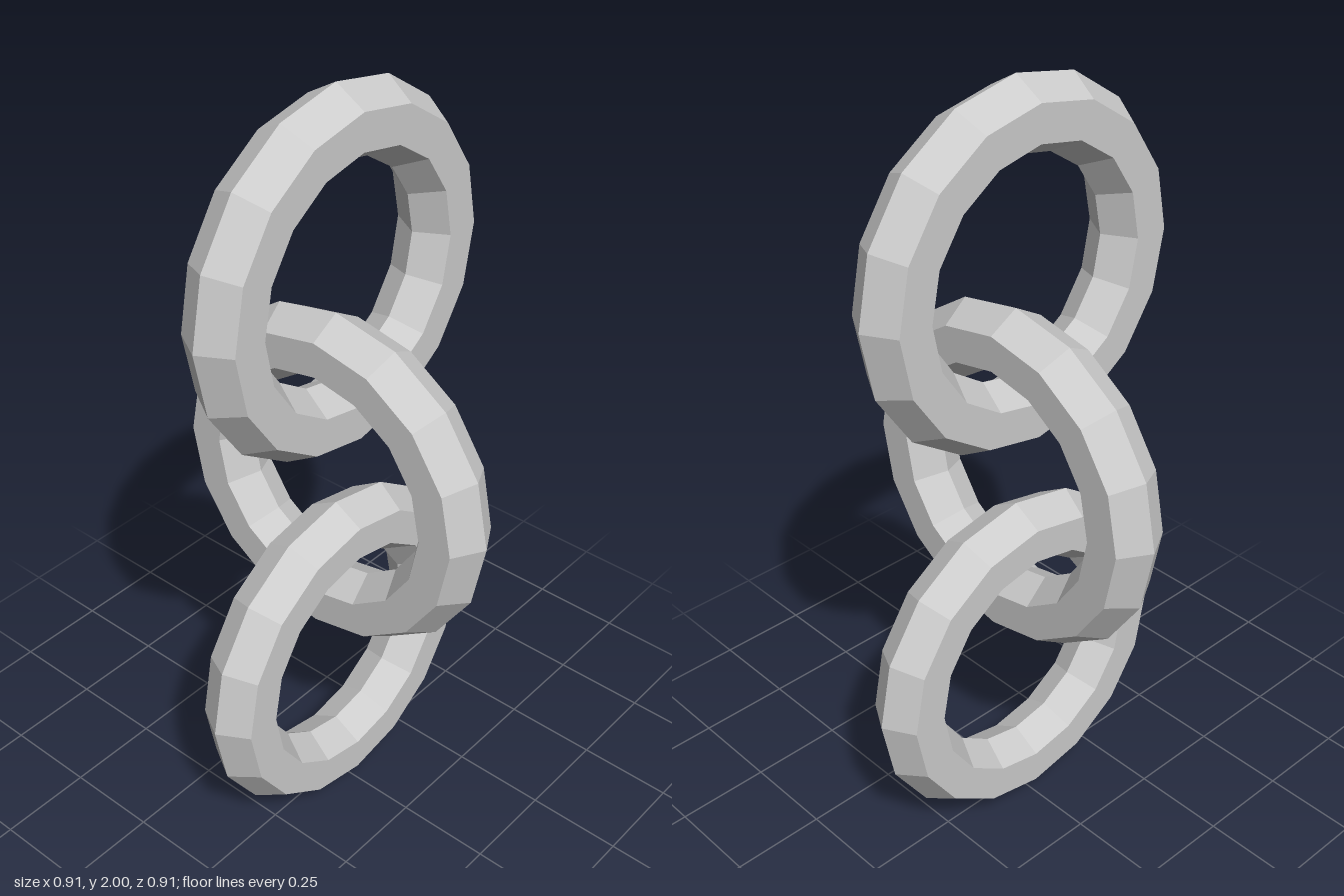
import * as THREE from 'three';

export function createModel() {
  const group = new THREE.Group();
  group.name = 'chain';
  const material = new THREE.MeshStandardMaterial({ color: 0xcccccc, flatShading: true });

  // One ring: hexagonal bar bent into 16 segments
  const ring = new THREE.TorusGeometry(0.364, 0.091, 6, 16);

  // Interlocked links, each turned a quarter from its neighbour
  const links = [
    ['lowerLink', 0.455, Math.PI / 2],
    ['middleLink', 0.992, 0],
    ['upperLink', 1.545, Math.PI / 2],
  ];
  for (const [name, y, turn] of links) {
    const link = new THREE.Mesh(ring, material);
    link.name = name;
    link.position.y = y;
    link.rotation.y = turn;
    group.add(link);
  }
  return group;
}
